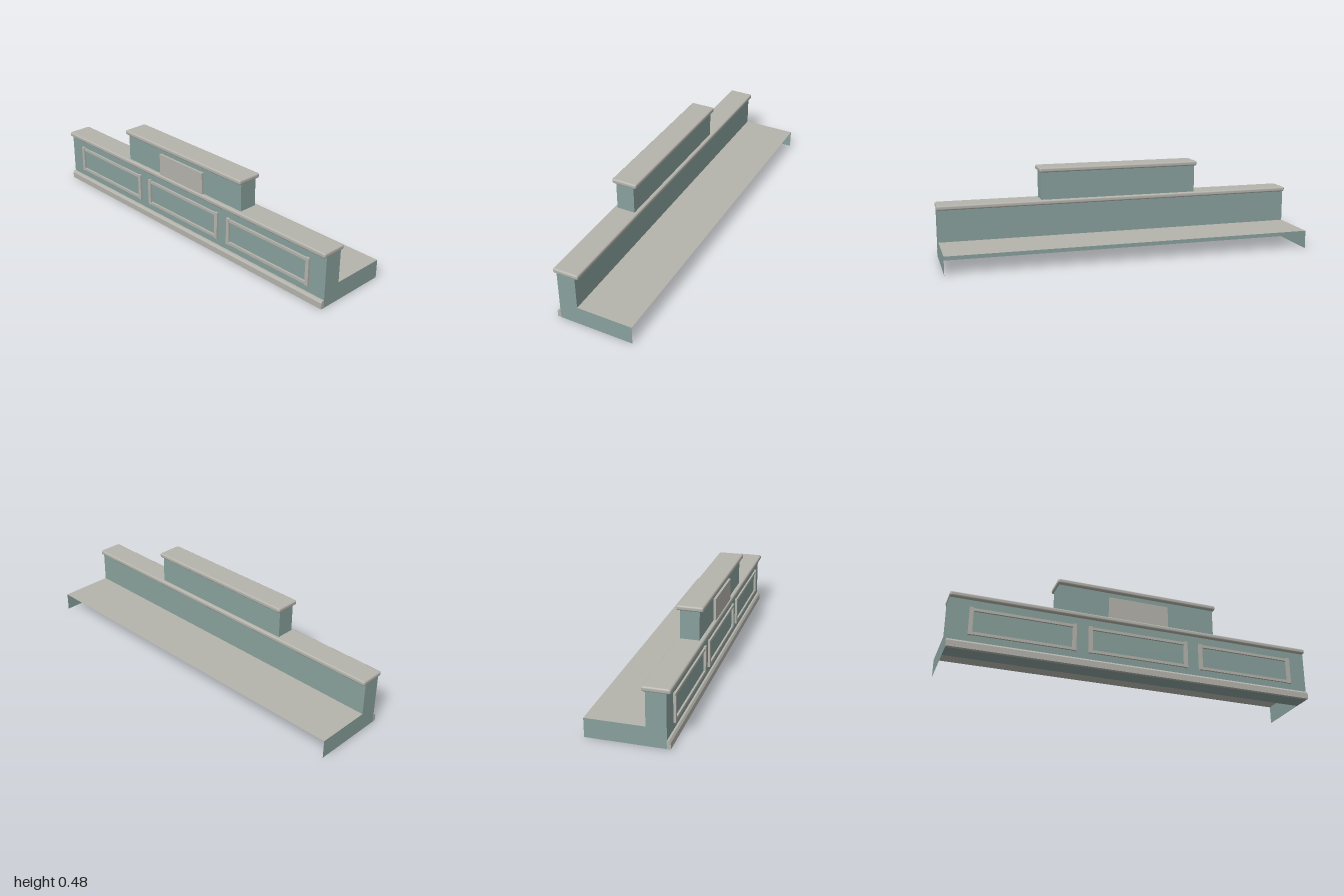
import * as THREE from 'three';
import { RoundedBoxGeometry } from 'three/addons/geometries/RoundedBoxGeometry.js';

export function createModel() {
  const model = new THREE.Group();
  model.name = 'steppedCounter';

  const paint = new THREE.MeshStandardMaterial({ color: 0x88a09c, side: THREE.DoubleSide });
  paint.name = 'sage teal paint';
  const stone = new THREE.MeshStandardMaterial({ color: 0xb4b3ac, side: THREE.DoubleSide });
  stone.name = 'warm grey stone';

  function add(name, geometry, material, x = 0, y = 0, z = 0, parent = model) {
    const mesh = new THREE.Mesh(geometry, material);
    mesh.name = name;
    mesh.position.set(x, y, z);
    parent.add(mesh);
    return mesh;
  }

  // Box given by its limits on each axis
  function block(name, material, [x0, x1], [y0, y1], [z0, z1], parent) {
    return add(name, new THREE.BoxGeometry(x1 - x0, y1 - y0, z1 - z0), material,
      (x0 + x1) / 2, (y0 + y1) / 2, (z0 + z1) / 2, parent);
  }

  const halfLength = 0.997;

  // Walls of the counter and of the raised centre
  block('lowerWall', paint, [-halfLength, halfLength], [0, 0.28], [0.09, 0.19]);
  block('upperWall', paint, [-0.44, 0.44], [0.295, 0.455], [0.09, 0.19]);

  // Ledges with rounded edges
  const ledge = (name, length, y) =>
    add(name, new RoundedBoxGeometry(length, 0.026, 0.139, 2, 0.009), stone, 0, y, 0.1405);
  ledge('lowerLedge', 2, 0.287);
  ledge('upperLedge', 0.9, 0.464);

  // Rear platform: a top sheet and two end sheets, open at the back and below
  const platform = new THREE.Group();
  platform.name = 'rearPlatform';
  model.add(platform);
  add('platformTop', new THREE.PlaneGeometry(2 * halfLength, 0.3), stone, 0, 0.1, -0.06, platform)
    .rotation.x = -Math.PI / 2;
  for (const side of [-1, 1]) {
    add('platformEnd', new THREE.PlaneGeometry(0.3, 0.1), paint, side * halfLength, 0.05, -0.06, platform)
      .rotation.y = side * Math.PI / 2;
  }

  // Skirting with a sloped upper edge; the profile is (z, y), extruded along x
  const profile = new THREE.Shape([
    [0.189, 0], [0.208, 0], [0.208, 0.032], [0.2, 0.043], [0.189, 0.043],
  ].map(([z, y]) => new THREE.Vector2(-z, y)));
  const skirting = new THREE.ExtrudeGeometry(profile, { depth: 2 * halfLength, bevelEnabled: false });
  skirting.translate(0, 0, -halfLength).rotateY(Math.PI / 2);
  add('skirting', skirting, stone);

  // Three framed panels: tall stiles at the ends, rails set slightly back
  for (const cx of [-0.618, 0.003, 0.624]) {
    const frame = new THREE.Group();
    frame.name = 'panelFrame';
    frame.position.x = cx;
    model.add(frame);
    for (const side of [-1, 1]) {
      const inner = side * 0.257, outer = side * 0.277;
      block('stile', stone, [Math.min(inner, outer), Math.max(inner, outer)], [0.081, 0.232], [0.188, 0.202], frame);
    }
    for (const y of [0.083, 0.213]) {
      block('rail', stone, [-0.257, 0.257], [y, y + 0.015], [0.188, 0.2], frame);
    }
  }

  // Plaque on the raised centre
  block('plaque', stone, [-0.165, 0.168], [0.298, 0.42], [0.188, 0.203]);

  return model;
}
